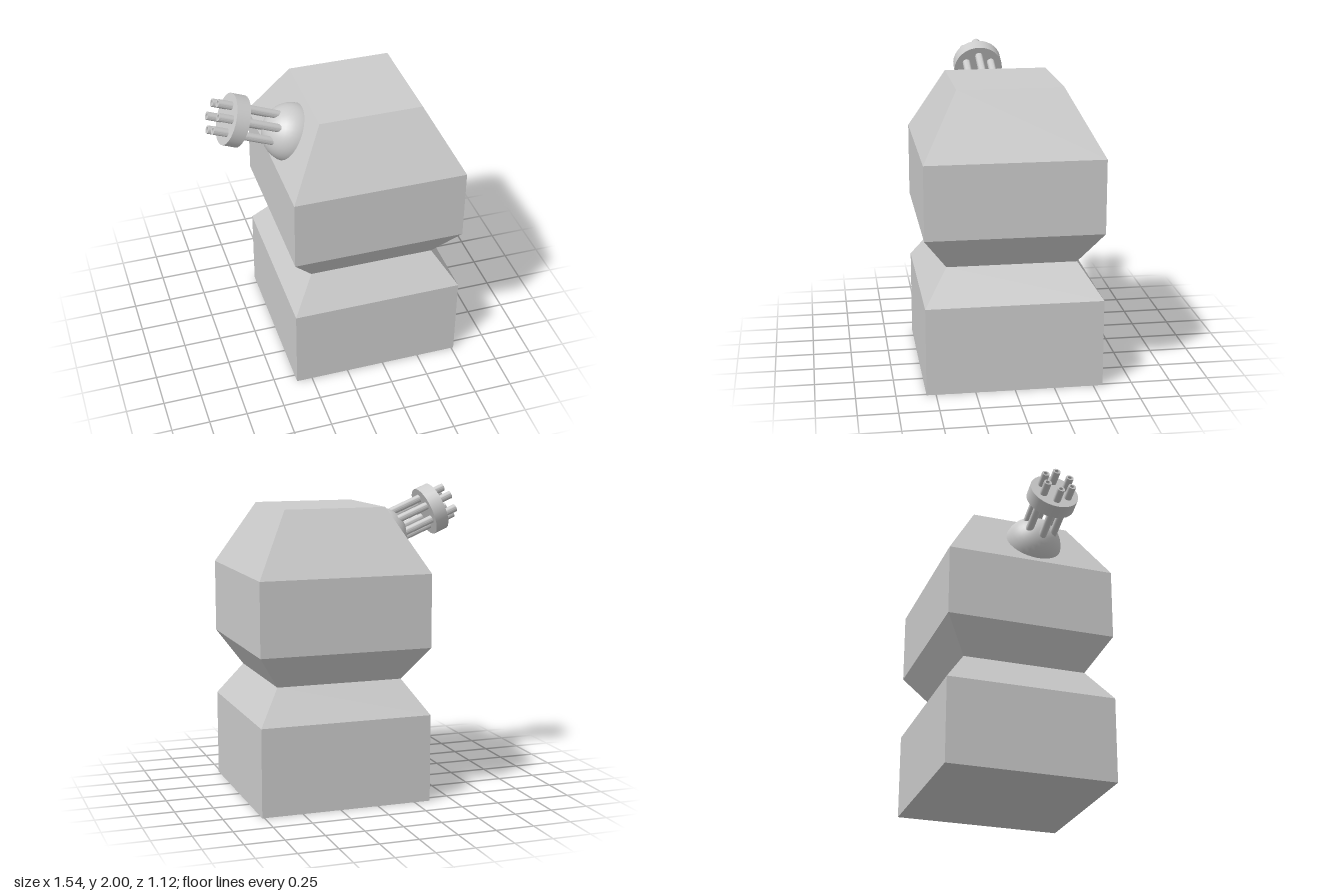
import * as THREE from 'three';
import { toCreasedNormals } from 'three/addons/utils/BufferGeometryUtils.js';

const points = (list) => list.map(([r, y]) => new THREE.Vector2(r, y));

export function createModel() {
  const model = new THREE.Group();
  model.name = 'turretTower';
  const smooth = new THREE.MeshStandardMaterial({ color: 0xcccccc });
  const flat = new THREE.MeshStandardMaterial({ color: 0xcccccc, flatShading: true });

  const add = (parent, name, geometry, material, x = 0, y = 0, z = 0) => {
    const mesh = new THREE.Mesh(geometry, material);
    mesh.name = name;
    mesh.position.set(x, y, z);
    parent.add(mesh);
    return mesh;
  };

  // Square tower: half-widths by height, turned in four segments
  const profile = [[0, 0], [0.56, 0], [0.56, 0.567], [0.412, 0.786], [0.56, 1.003],
    [0.56, 1.475], [0.332, 1.883], [0, 1.883]];
  const towerPoints = points(profile.map(([h, y]) => [h * Math.SQRT2, y]));
  add(model, 'tower', new THREE.LatheGeometry(towerPoints, 4, Math.PI / 4), flat, 0.205);

  // Ball mount set into the sloped side
  const mount = add(model, 'ballMount', new THREE.SphereGeometry(0.19, 32, 20), smooth, -0.225, 1.66, 0.05);
  mount.rotation.z = THREE.MathUtils.degToRad(67.5);

  // Gun: local y runs along the barrels, origin at the centre of the drum
  const gun = new THREE.Group();
  gun.name = 'gun';
  gun.position.set(-0.595, 1.829, 0.058);
  gun.rotation.z = THREE.MathUtils.degToRad(67.5);
  model.add(gun);

  add(gun, 'barrelDrum', new THREE.CylinderGeometry(0.163, 0.163, 0.09, 32), smooth);

  // Six hollow barrels in a ring
  const barrel = toCreasedNormals(new THREE.LatheGeometry(points([
    [0, -0.32], [0.026, -0.32], [0.026, 0.139], [0.015, 0.139], [0.015, 0.06], [0, 0.06],
  ]), 16), 0.7);
  for (let i = 0; i < 6; i++) {
    const a = (i * Math.PI) / 3;
    add(gun, `barrel${i + 1}`, barrel, smooth, 0.096 * Math.cos(a), 0, 0.096 * Math.sin(a));
  }

  return model;
}
